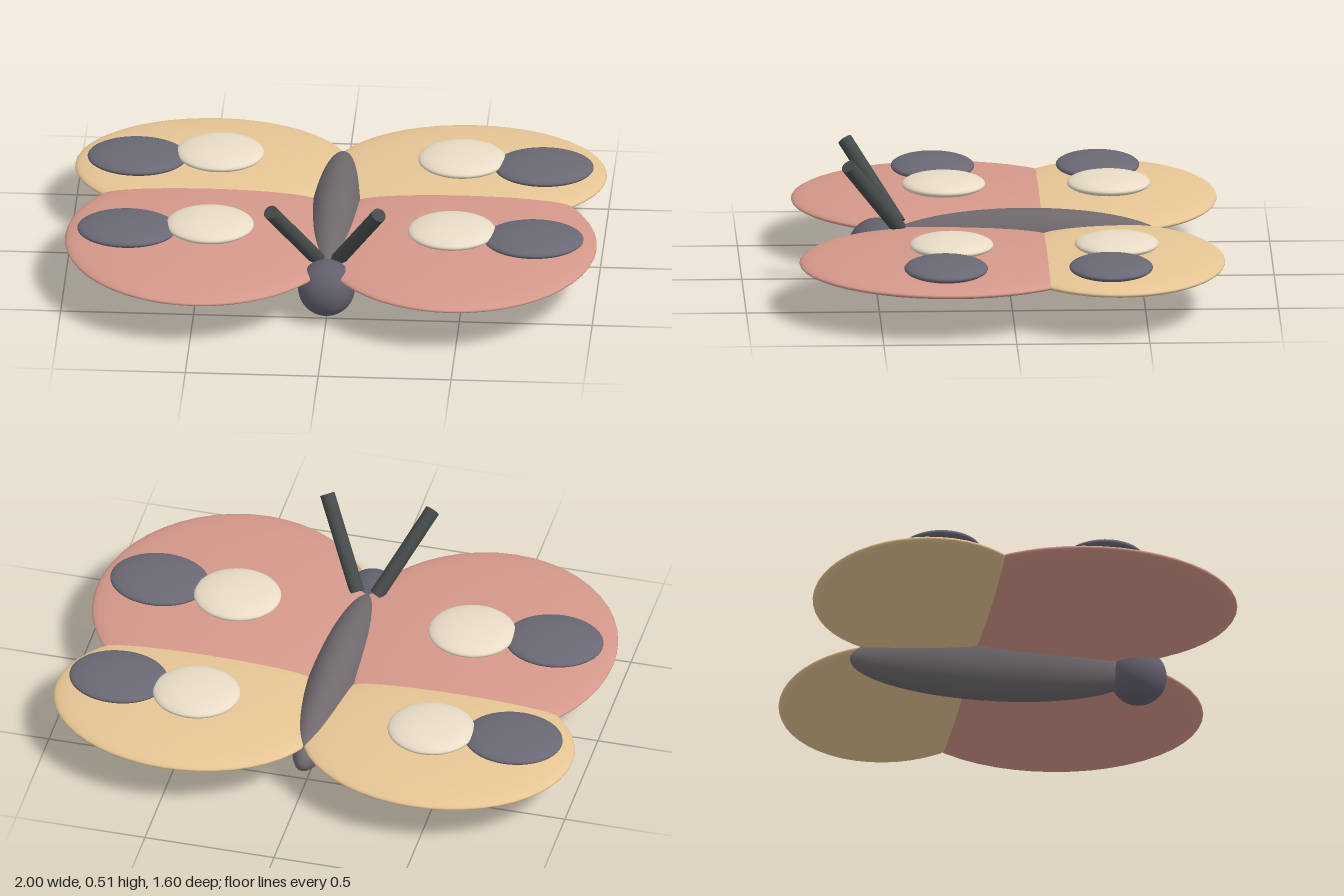
import * as THREE from 'three';

const mat = (color) => new THREE.MeshStandardMaterial({ color });

// Ellipsoid from centre and radii
function ellipsoid(name, material, [x, y, z], [rx, ry, rz]) {
  const geo = new THREE.SphereGeometry(1, 48, 32);
  geo.scale(rx, ry, rz);
  const mesh = new THREE.Mesh(geo, material);
  mesh.name = name;
  mesh.position.set(x, y, z);
  return mesh;
}

// Straight round rod between two points
function rod(name, material, from, to, radius) {
  const a = new THREE.Vector3(...from);
  const b = new THREE.Vector3(...to);
  const dir = b.clone().sub(a);
  const mesh = new THREE.Mesh(new THREE.CylinderGeometry(radius, radius, dir.length(), 20), material);
  mesh.name = name;
  mesh.position.copy(a).add(b).multiplyScalar(0.5);
  mesh.quaternion.setFromUnitVectors(new THREE.Vector3(0, 1, 0), dir.normalize());
  return mesh;
}

export function createModel() {
  const model = new THREE.Group();
  model.name = 'butterfly';

  const rose = mat(0xd4988a);
  const sand = mat(0xe6c594);
  const cream = mat(0xe8dcc6);
  const slate = mat(0x6a6874);
  const bodyGrey = mat(0x6f696d);
  const headGrey = mat(0x625f6c);
  const antennaGrey = mat(0x454b4a);

  // Body and head
  model.add(ellipsoid('body', bodyGrey, [0, 0.135, -0.06], [0.1, 0.133, 0.54]));
  model.add(ellipsoid('head', headGrey, [0, 0.127, 0.493], [0.107, 0.107, 0.107]));

  for (const [side, s] of [['left', 1], ['right', -1]]) {
    // Wings: flat ellipsoids that meet in a straight seam
    model.add(ellipsoid(side + 'FrontWing', rose, [s * 0.48, 0.187, 0.23], [0.52, 0.046, 0.57]));
    model.add(ellipsoid(side + 'BackWing', sand, [s * 0.48, 0.187, -0.39], [0.52, 0.046, 0.41]));

    // A pale inner spot and a dark outer spot on each wing
    for (const [wing, z] of [['Front', 0.227], ['Back', -0.393]]) {
      model.add(ellipsoid(side + wing + 'InnerSpot', cream, [s * 0.455, 0.248, z], [0.165, 0.034, 0.157]));
      model.add(ellipsoid(side + wing + 'OuterSpot', slate, [s * 0.765, 0.238, z + 0.031], [0.187, 0.033, 0.157]));
    }

    // Antenna
    model.add(rod(side + 'Antenna', antennaGrey, [s * 0.038, 0.205, 0.41], [s * 0.204, 0.49, 0.607], 0.028));
  }
  return model;
}
